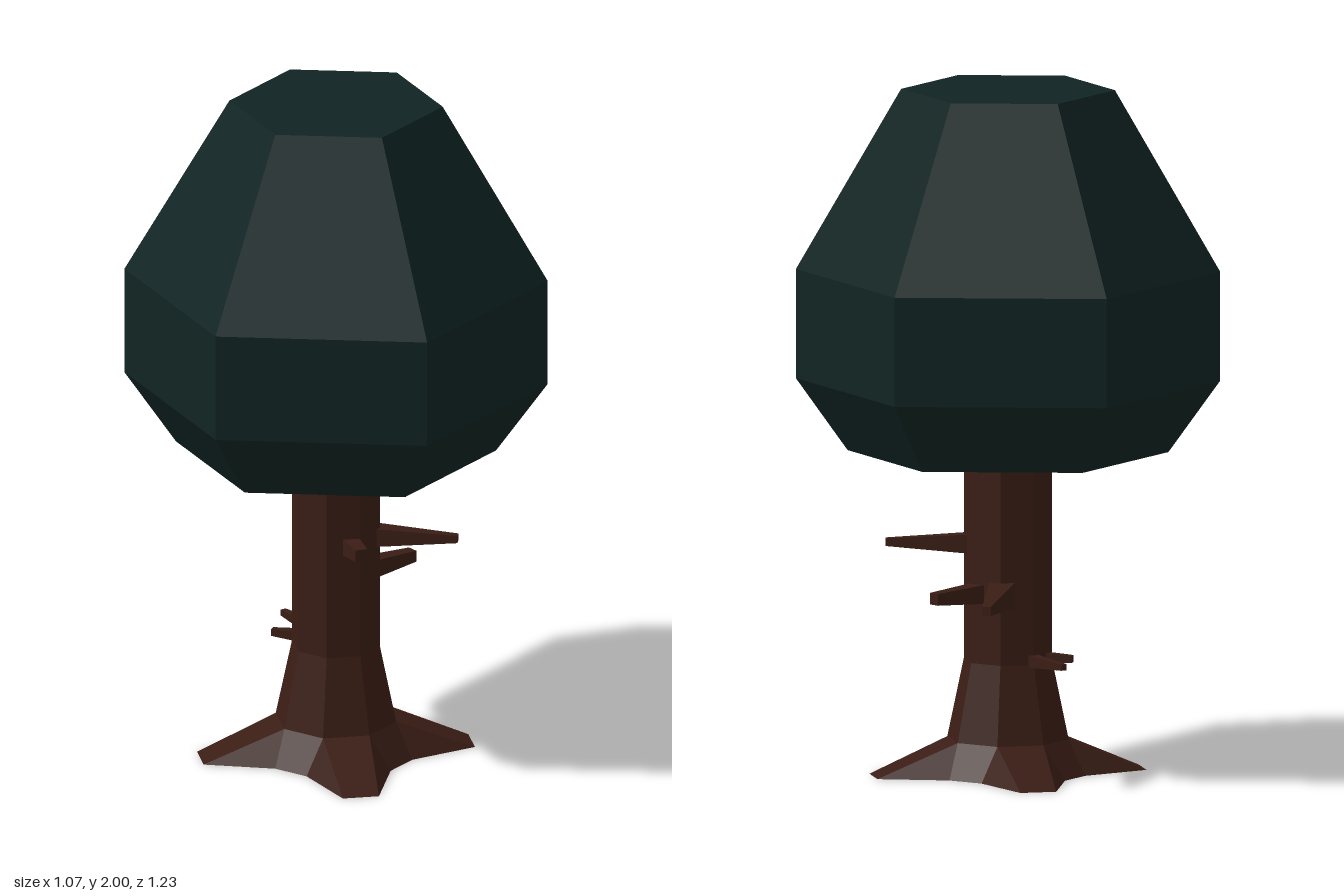
import * as THREE from 'three';

const bark = new THREE.MeshStandardMaterial({ color: 0x3a1d15, flatShading: true });
const leaves = new THREE.MeshStandardMaterial({ color: 0x102423, flatShading: true });

// Cross-section with four-fold symmetry: a flat side (a, b) and a root tip (c, d) per quarter turn
function ring(y, a, b, c = a, d = b) {
  const points = [];
  for (let q = 0; q < 4; q++) {
    for (const [x, z] of [[a, -b], [a, b], [c, d], [d, c]]) {
      const [px, pz] = [[x, z], [-z, x], [-x, -z], [z, -x]][q];
      points.push(new THREE.Vector3(px, y, pz));
    }
  }
  return points;
}

// Skin between stacked rings with caps, skipping collapsed triangles
function loft(rings) {
  const positions = [];
  const tri = (a, b, c) => {
    const area = b.clone().sub(a).cross(c.clone().sub(a)).length();
    if (area > 1e-6) for (const p of [a, b, c]) positions.push(p.x, p.y, p.z);
  };
  const n = rings[0].length;
  const bottom = rings[0], top = rings[rings.length - 1];
  const low = new THREE.Vector3(0, bottom[0].y, 0);
  const high = new THREE.Vector3(0, top[0].y, 0);
  for (let i = 0; i < n; i++) {
    const j = (i + 1) % n;
    for (let k = 0; k < rings.length - 1; k++) {
      const r = rings[k], s = rings[k + 1];
      tri(r[i], s[i], s[j]);
      tri(r[i], s[j], r[j]);
    }
    tri(low, bottom[i], bottom[j]);
    tri(high, top[j], top[i]);
  }
  const geometry = new THREE.BufferGeometry();
  geometry.setAttribute('position', new THREE.Float32BufferAttribute(positions, 3));
  geometry.computeVertexNormals();
  return geometry;
}

// Tapered square peg growing outward from the trunk's axis to (x, z)
function branch(name, x, y, z, base, tip) {
  const start = 0.08;
  const length = Math.hypot(x, z) - start;
  const geometry = new THREE.CylinderGeometry(tip / Math.SQRT2, base / Math.SQRT2, length, 4)
    .rotateY(Math.PI / 4)
    .translate(0, start + length / 2, 0)
    .rotateX(Math.PI / 2);
  const mesh = new THREE.Mesh(geometry, bark);
  mesh.name = name;
  mesh.position.y = y;
  mesh.rotation.y = Math.atan2(x, z);
  return mesh;
}

export function createModel() {
  const tree = new THREE.Group();
  tree.name = 'tree';

  // Octagonal trunk flaring into four diagonal roots
  const trunk = new THREE.Mesh(loft([
    ring(0, 0.23, 0.055, 0.32, 0.245),
    ring(0.1, 0.165, 0.068),
    ring(0.33, 0.12, 0.05),
    ring(0.96, 0.12, 0.05),
  ]), bark);
  trunk.name = 'trunk';
  tree.add(trunk);

  // Three pairs of bare branches
  tree.add(
    branch('upperBranch', 0.315, 0.67, -0.165, 0.06, 0.022),
    branch('upperTwig', 0.165, 0.67, 0.11, 0.055, 0.036),
    branch('middleBranch', -0.17, 0.535, -0.385, 0.08, 0.026),
    branch('middleTwig', 0.08, 0.535, -0.275, 0.06, 0.034),
    branch('lowerBranch', -0.255, 0.34, -0.1, 0.04, 0.018),
    branch('lowerTwig', -0.19, 0.34, 0.05, 0.035, 0.02),
  );

  // Six-sided crown with closed top and bottom
  const profile = [[0, 0.94], [0.465, 0.94], [0.615, 1.15], [0.615, 1.47], [0.31, 2], [0, 2]];
  const crown = new THREE.Mesh(
    new THREE.LatheGeometry(profile.map(([r, y]) => new THREE.Vector2(r, y)), 6), leaves);
  crown.name = 'crown';
  tree.add(crown);

  return tree;
}
